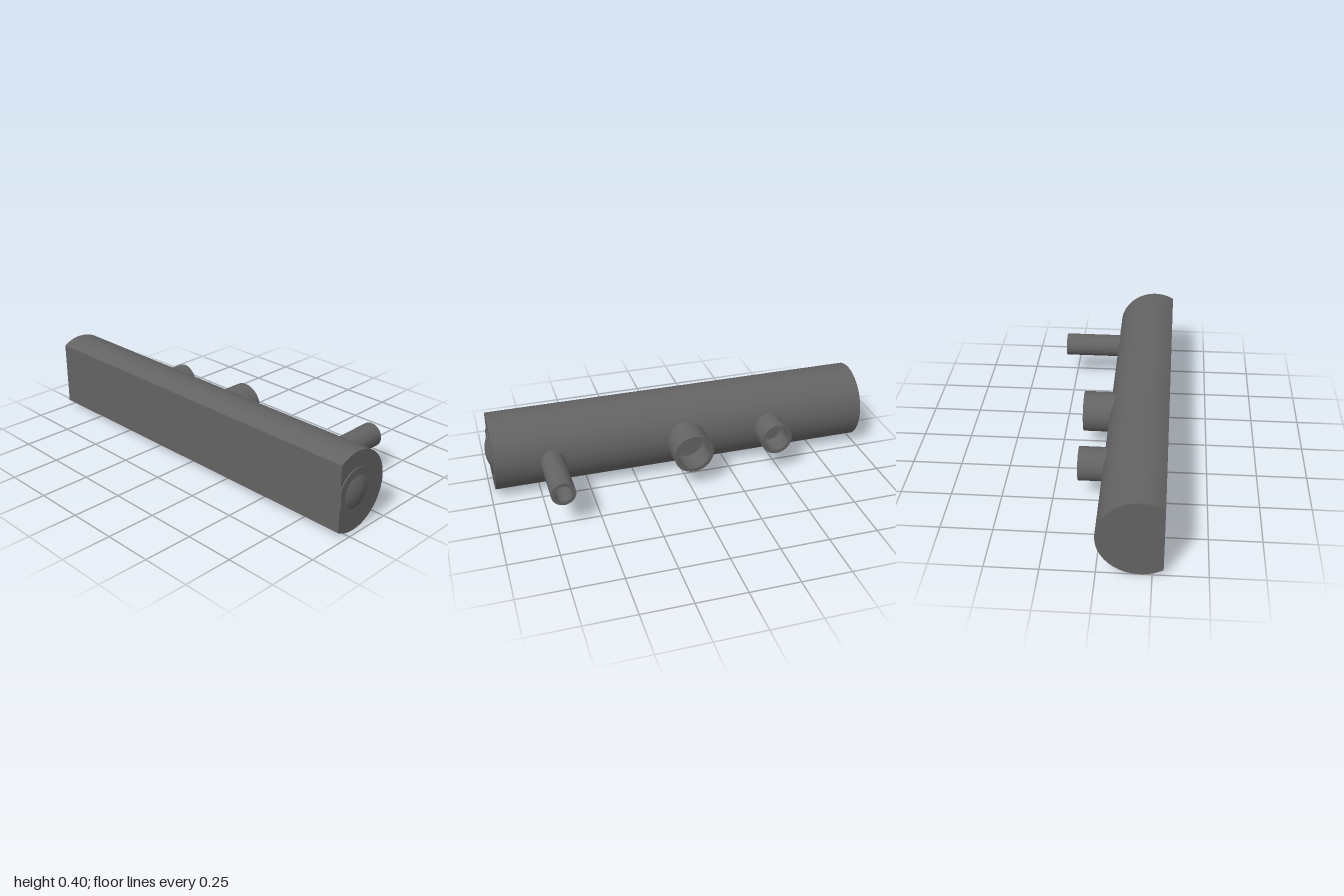
import * as THREE from 'three';
import { toCreasedNormals } from 'three/addons/utils/BufferGeometryUtils.js';

const CY = 0.198, CZ = 0.195, FLAT_Z = 0.3;
const material = new THREE.MeshStandardMaterial({ color: 0x636363 });

function add(group, name, geometry) {
  const mesh = new THREE.Mesh(geometry, material);
  mesh.name = name;
  group.add(mesh);
}

// Round bar along x with its front sliced flat at FLAT_Z
function flattenedBar(radius, x0, x1) {
  const half = Math.PI - Math.acos((FLAT_Z - CZ) / radius);
  const shape = new THREE.Shape();
  shape.absarc(-CZ, CY, radius, -half, half, false);
  shape.closePath();
  const geometry = new THREE.ExtrudeGeometry(shape, {
    depth: x1 - x0, bevelEnabled: false, curveSegments: 80,
  });
  geometry.rotateY(Math.PI / 2).translate(x0, 0, 0);
  return toCreasedNormals(geometry, 0.4);
}

// Pipe pointing backwards with a flat-bottomed bore; its root is buried in the body
function pipe(x, outer, inner, endZ) {
  const root = 0.06, floorZ = -0.01;
  const points = [
    [outer, 0], [outer, root - endZ], [inner, root - endZ], [inner, root - floorZ], [0, root - floorZ],
  ].map(([r, y]) => new THREE.Vector2(r, y));
  const geometry = new THREE.LatheGeometry(points, 64);
  geometry.rotateX(-Math.PI / 2).translate(x, CY, root);
  return toCreasedNormals(geometry, 0.5);
}

export function createModel() {
  const group = new THREE.Group();
  group.name = 'manifold';

  // Main body and the shallow collar on its left end
  add(group, 'body', flattenedBar(0.198, -1, 0.975));
  add(group, 'endCollar', flattenedBar(0.117, 0.97, 0.981));

  // Shallow domed button in the collar
  const dome = [];
  for (let i = 0; i <= 10; i++) {
    const r = 1 - i / 10;
    dome.push(new THREE.Vector2(0.081 * r, 0.98 + 0.02 * (1 - r * r)));
  }
  const button = new THREE.LatheGeometry(dome, 48);
  button.rotateZ(-Math.PI / 2).translate(0, CY, CZ);
  add(group, 'endButton', button);

  // Rear pipes: x, outer radius, bore radius, rear end
  [
    ['rightPipe', -0.47, 0.082, 0.064, -0.122],
    ['middlePipe', -0.015, 0.103, 0.083, -0.137],
    ['leftPipe', 0.685, 0.061, 0.043, -0.3],
  ].forEach(([name, ...size]) => add(group, name, pipe(...size)));

  return group;
}
